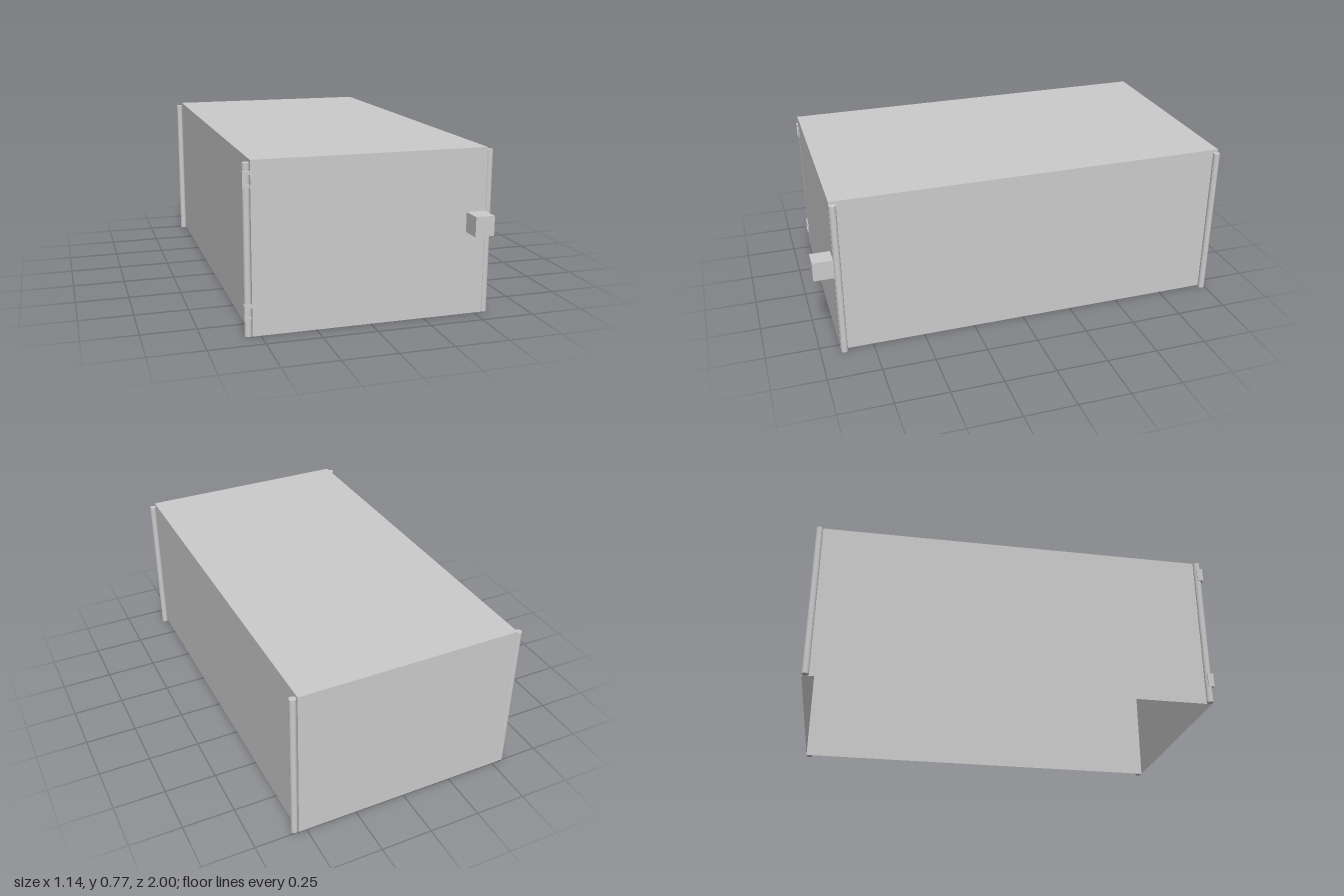
import * as THREE from 'three';

const material = new THREE.MeshStandardMaterial({ color: 0xcccccc });
const thin = new THREE.MeshStandardMaterial({ color: 0xcccccc, side: THREE.DoubleSide });

const HALF_W = 0.537, HEIGHT = 0.77, BACK = -1, FRONT = 0.905;
const LENGTH = FRONT - BACK, MID_Z = (FRONT + BACK) / 2;

export function createModel() {
  const model = new THREE.Group();
  model.name = 'hingedBox';

  const add = (name, geometry, x, y, z, parent = model, mat = material) => {
    const mesh = new THREE.Mesh(geometry, mat);
    mesh.name = name;
    mesh.position.set(x, y, z);
    parent.add(mesh);
    return mesh;
  };
  // Box given by its lower and upper limits on each axis
  const block = (name, [x0, x1], [y0, y1], [z0, z1], parent) =>
    add(name, new THREE.BoxGeometry(x1 - x0, y1 - y0, z1 - z0),
      (x0 + x1) / 2, (y0 + y1) / 2, (z0 + z1) / 2, parent);
  // Single thin sheet
  const sheet = (name, w, h, x, y, z, rx, ry) =>
    add(name, new THREE.PlaneGeometry(w, h), x, y, z, model, thin).rotation.set(rx, ry, 0);

  // Thin-walled shell, open underneath
  sheet('door', 2 * HALF_W, HEIGHT, 0, HEIGHT / 2, FRONT, 0, 0);
  sheet('backWall', 2 * HALF_W, HEIGHT, 0, HEIGHT / 2, BACK, 0, Math.PI);
  sheet('leftWall', LENGTH, HEIGHT, HALF_W, HEIGHT / 2, MID_Z, 0, Math.PI / 2);
  sheet('rightWall', LENGTH, HEIGHT, -HALF_W, HEIGHT / 2, MID_Z, 0, -Math.PI / 2);
  sheet('roof', 2 * HALF_W, LENGTH, 0, HEIGHT, MID_Z, -Math.PI / 2, 0);

  // Round corner posts
  const post = new THREE.CylinderGeometry(0.016, 0.016, 0.758, 24);
  for (const side of [-1, 1])
    for (const [end, z] of [['front', 0.89], ['back', -0.984]])
      add(`${end}${side > 0 ? 'Left' : 'Right'}Post`, post, side * 0.553, 0.379, z);

  // Door handle
  block('doorHandle', [0.447, HALF_W], [0.388, 0.48], [FRONT, 1]);

  // Bracket hinges clasping the front right post
  for (const [name, y] of [['lowerHinge', 0.076], ['upperHinge', 0.654]]) {
    const hinge = new THREE.Group();
    hinge.name = name;
    model.add(hinge);
    block('spine', [-0.572, -0.563], [y, y + 0.068], [0.883, 0.912], hinge);
    block('lowerArm', [-0.563, -0.542], [y, y + 0.014], [0.883, 0.912], hinge);
    block('upperArm', [-0.563, -0.537], [y + 0.054, y + 0.068], [0.883, 0.912], hinge);
    block('leaf', [-0.537, -0.507], [y + 0.014, y + 0.054], [0.9, 0.908], hinge);
  }
  return model;
}
